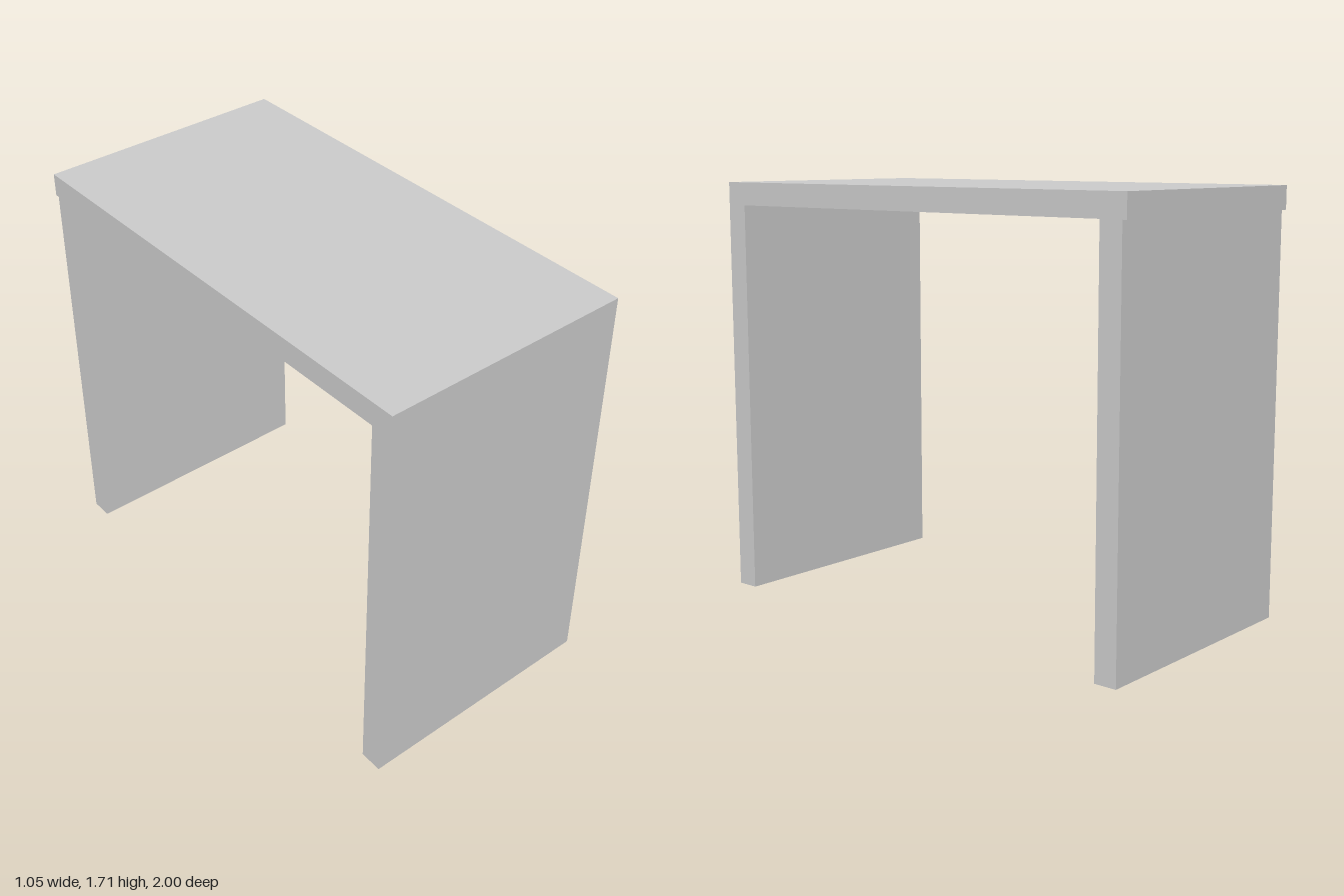
import * as THREE from 'three';

const WIDTH = 1.046;
const HEIGHT = 1.71;
const DEPTH = 2;
const BOARD = 0.093; // board thickness

export function createModel() {
  const group = new THREE.Group();
  group.name = 'table';
  const material = new THREE.MeshStandardMaterial({ color: 0xcccccc });

  function addBoard(name, height, depth, y, z) {
    const mesh = new THREE.Mesh(new THREE.BoxGeometry(WIDTH, height, depth), material);
    mesh.name = name;
    mesh.position.set(0, y, z);
    group.add(mesh);
  }

  // Flat top
  addBoard('tableTop', BOARD, DEPTH, HEIGHT - BOARD / 2, 0);

  // Panel legs: the front one is flush with the top, the back one set in slightly
  const legHeight = HEIGHT - BOARD;
  const backInset = 0.018;
  addBoard('frontLegPanel', legHeight, BOARD, legHeight / 2, DEPTH / 2 - BOARD / 2);
  addBoard('backLegPanel', legHeight, BOARD, legHeight / 2, -DEPTH / 2 + backInset + BOARD / 2);

  return group;
}
